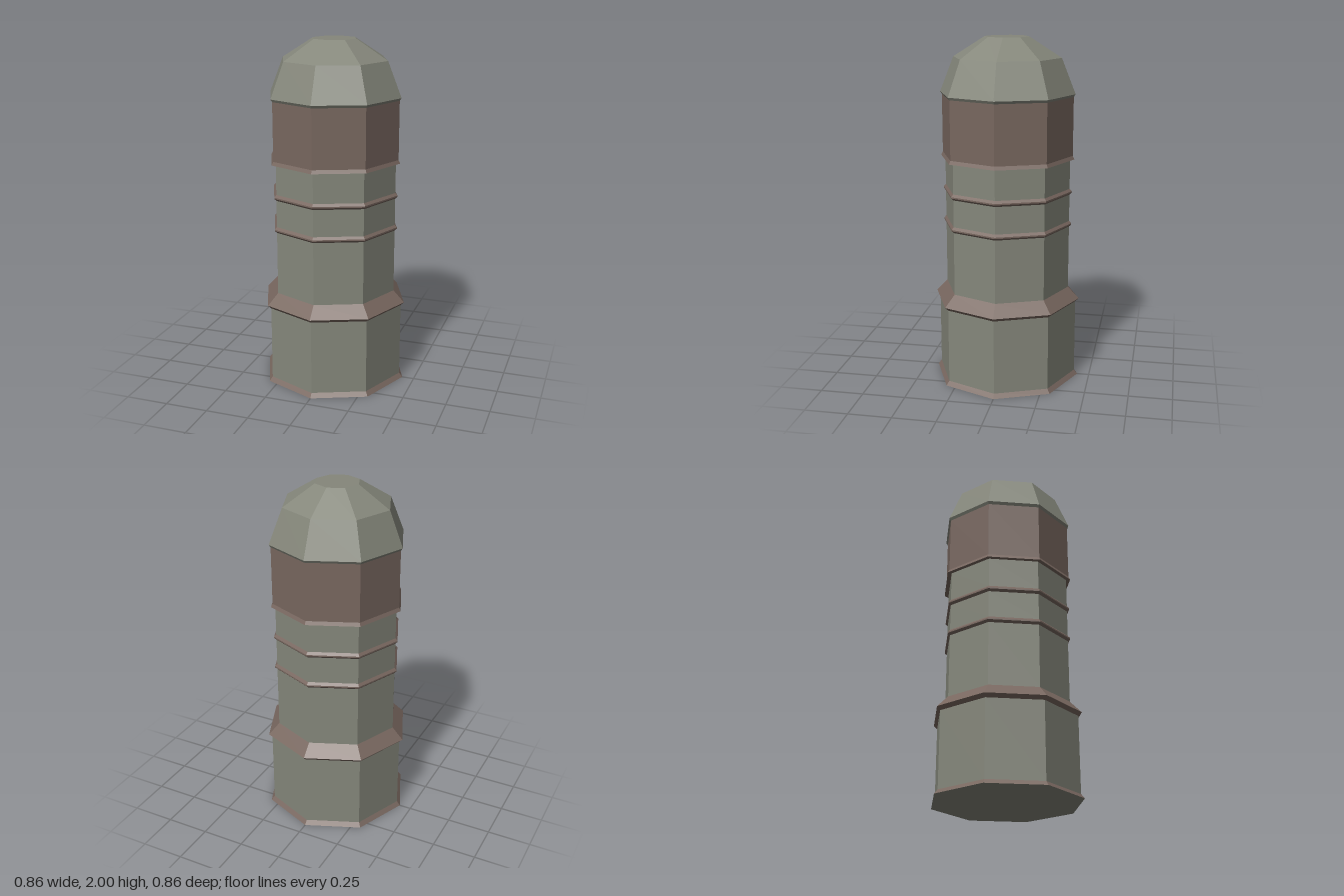
import * as THREE from 'three';

const SIDES = 8;

export function createModel() {
  const group = new THREE.Group();
  const stone = new THREE.MeshStandardMaterial({ color: 0x85877b, flatShading: true });
  const trim = new THREE.MeshStandardMaterial({ color: 0x78675f, flatShading: true });

  // Eight-sided ring or shell from [radius, height] pairs, bottom to top
  function turned(name, material, profile) {
    const points = profile.map(([r, y]) => new THREE.Vector2(r, y));
    const geometry = new THREE.LatheGeometry(points, SIDES).toNonIndexed();
    geometry.computeVertexNormals();
    const mesh = new THREE.Mesh(geometry, material);
    mesh.name = name;
    group.add(mesh);
  }

  // Base: flat underside, flared foot and broad drum
  turned('underside', stone, [[0, 0], [0.43, 0]]);
  turned('footTrim', trim, [[0.43, 0], [0.41, 0.025]]);
  turned('baseDrum', stone, [[0.41, 0.025], [0.41, 0.462]]);
  turned('shoulderTrim', trim, [[0.41, 0.462], [0.43, 0.482], [0.365, 0.55]]);

  // Column, broken up by two thin raised rings
  const ringHeights = [0.935, 1.125];
  const half = 0.017;
  let start = 0.55;
  for (const y of ringHeights) {
    turned('column', stone, [[0.365, start], [0.365, y - half]]);
    turned('columnRing', trim, [[0.365, y - half], [0.378, y - 0.005], [0.378, y + 0.003], [0.365, y + half]]);
    start = y + half;
  }
  turned('column', stone, [[0.365, start], [0.365, 1.315]]);

  // Head band with a flared lower lip
  turned('headBand', trim, [[0.365, 1.315], [0.39, 1.315], [0.38, 1.335], [0.38, 1.67]]);

  // Faceted dome with a slight overhang and flat top
  turned('dome', stone, [[0.38, 1.67], [0.39, 1.685], [0.31, 1.885], [0.127, 2], [0, 2]]);

  return group;
}
